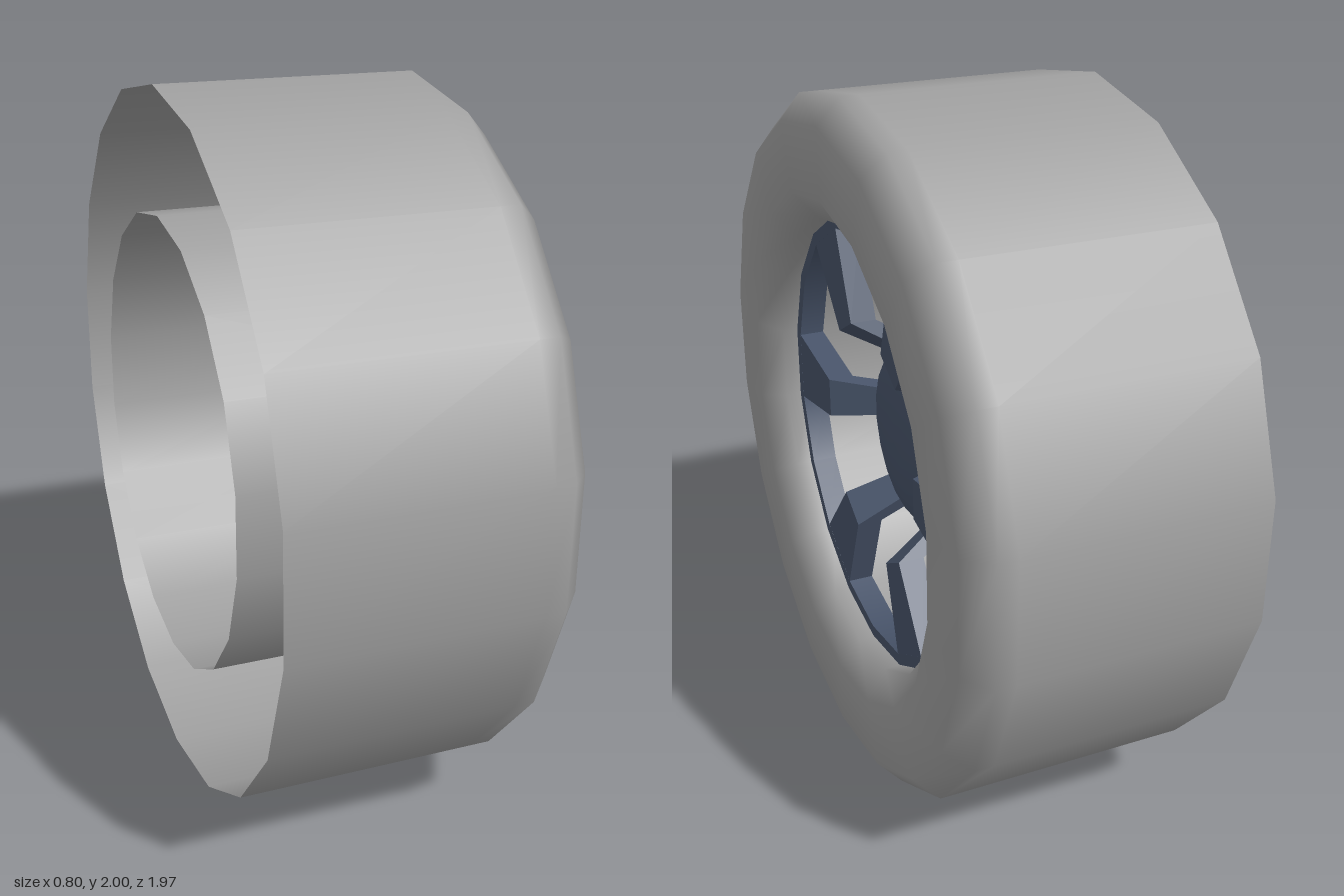
import * as THREE from 'three';

const SIDES = 18;
const HALF = Math.PI / SIDES; // half of one facet

// Revolve [x, radius] points about the x axis, with a corner at the top
function revolve(profile) {
  const points = profile.map(([x, r]) => new THREE.Vector2(r, x));
  const geometry = new THREE.LatheGeometry(points, SIDES, Math.PI / 2);
  return geometry.rotateZ(-Math.PI / 2);
}

// Cranked spoke: four-cornered sections swept from the rim to the hub
function spokeGeometry() {
  const sections = [ // radius, front x, back x
    [0.635, 0.29, 0.215],
    [0.35, 0.285, 0.21],
    [0.262, 0.15, 0.065],
  ];
  const positions = [];
  const index = [];
  for (const [r, front, back] of sections) {
    for (const [x, a] of [[front, -HALF], [front, HALF], [back, HALF], [back, -HALF]]) {
      positions.push(x, r * Math.sin(a), r * Math.cos(a));
    }
  }
  for (let i = 0; i < sections.length - 1; i++) {
    for (let k = 0; k < 4; k++) {
      const n = (k + 1) % 4;
      const d = i * 4 + k, c = i * 4 + n, a = d + 4, b = c + 4;
      index.push(a, b, c, a, c, d);
    }
  }
  const indexed = new THREE.BufferGeometry();
  indexed.setAttribute('position', new THREE.Float32BufferAttribute(positions, 3));
  indexed.setIndex(index);
  const geometry = indexed.toNonIndexed();
  geometry.computeVertexNormals();
  return geometry;
}

export function createModel() {
  const rubber = new THREE.MeshStandardMaterial({ color: 0xa0a0a0, side: THREE.DoubleSide });
  rubber.name = 'grey rubber';
  const metal = new THREE.MeshStandardMaterial({ color: 0x48546a, side: THREE.DoubleSide });
  metal.name = 'blue metal';

  const wheel = new THREE.Group();
  wheel.name = 'wheel';
  wheel.position.y = 1;
  const add = (name, geometry, material) => {
    const mesh = new THREE.Mesh(geometry, material);
    mesh.name = name;
    wheel.add(mesh);
    return mesh;
  };

  // Tyre: a shell left open at the back
  add('tyre', revolve([
    [-0.4, 1], [0.28, 1], [0.335, 1], [0.4, 0.93], [0.4, 0.735],
    [0.335, 0.657], [0.27, 0.655], [-0.4, 0.655],
  ]), rubber);

  // Rim ring: front face, inner wall and back face kept crisp
  add('rimFront', revolve([[0.29, 0.655], [0.29, 0.62]]), metal);
  add('rimInnerWall', revolve([[0.29, 0.62], [0.215, 0.62]]), metal);
  add('rimBack', revolve([[0.215, 0.62], [0.215, 0.655]]), metal);

  // Hub: shallow dome, side wall and flat back
  add('hubDome', revolve([[0.15, 0.27], [0.178, 0.23], [0.198, 0.16], [0.208, 0.08], [0.21, 0]]), metal);
  add('hubWall', revolve([[0.065, 0.27], [0.15, 0.27]]), metal);
  add('hubBack', revolve([[0.065, 0], [0.065, 0.27]]), metal);

  // Six spokes
  const spoke = spokeGeometry();
  for (let i = 0; i < 6; i++) {
    add('spoke', spoke, metal).rotation.x = (i * Math.PI) / 3;
  }

  const model = new THREE.Group();
  model.name = 'wheelModel';
  model.add(wheel);
  return model;
}
